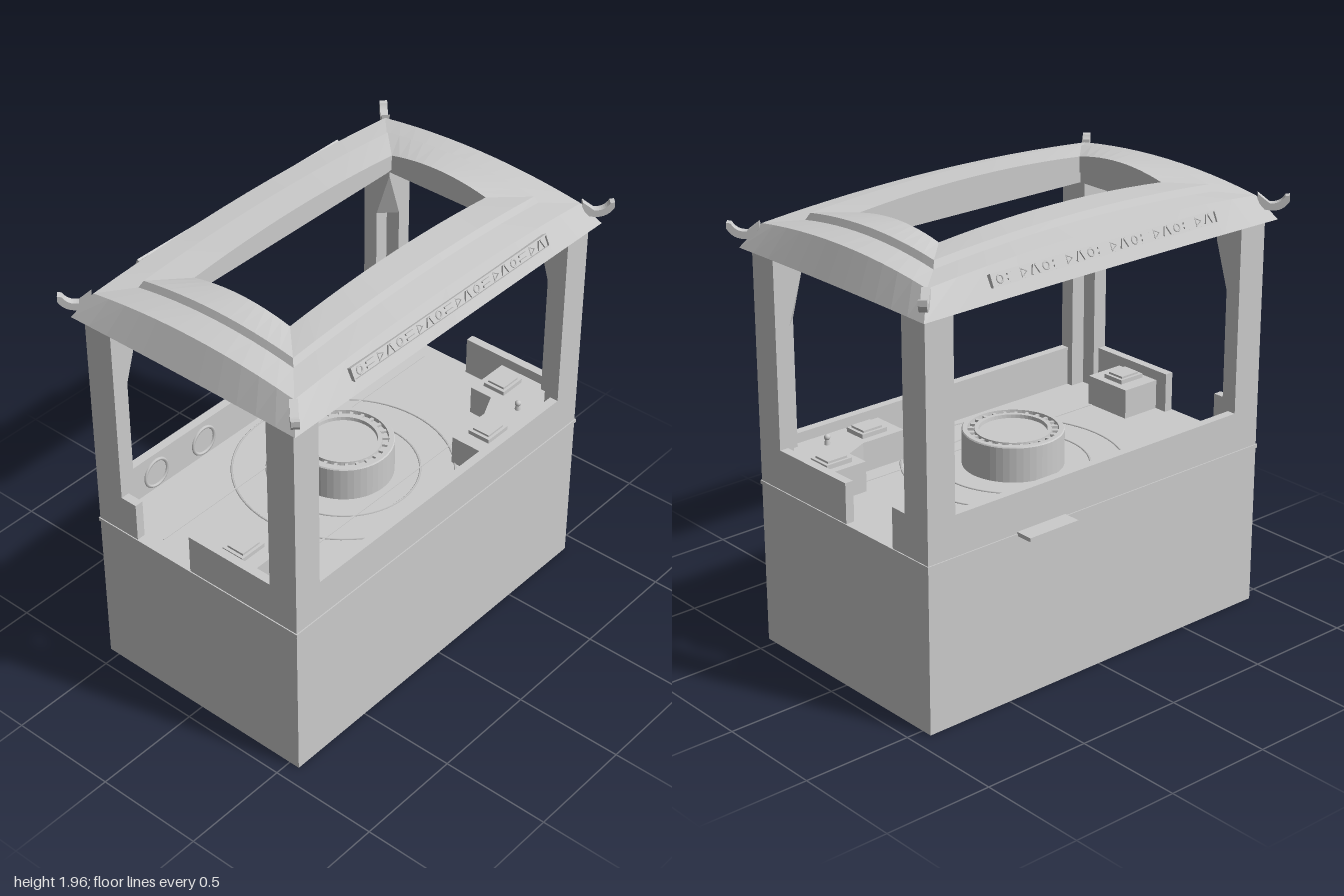
import * as THREE from 'three';
import { ConvexGeometry } from 'three/addons/geometries/ConvexGeometry.js';

const grey = new THREE.MeshStandardMaterial({ color: 0xcccccc });
const flat = new THREE.MeshStandardMaterial({ color: 0xcccccc, flatShading: true });
const DECK = 0.75, EAVE = 1.78;

function add(parent, name, geometry, material = grey) {
  const mesh = new THREE.Mesh(geometry, material);
  mesh.name = name;
  parent.add(mesh);
  return mesh;
}

function box(parent, name, w, h, d, x, y, z) {
  const mesh = add(parent, name, new THREE.BoxGeometry(w, h, d));
  mesh.position.set(x, y, z);
  return mesh;
}

// Box given by its lower and upper corner
function span(parent, name, [x0, y0, z0], [x1, y1, z1]) {
  return box(parent, name, x1 - x0, y1 - y0, z1 - z0, (x0 + x1) / 2, (y0 + y1) / 2, (z0 + z1) / 2);
}

// Plan outline of (x, z) points raised from y0 to y1
function prism(points, y0, y1) {
  const shape = new THREE.Shape(points.map(([x, z]) => new THREE.Vector2(x, -z)));
  return new THREE.ExtrudeGeometry(shape, { depth: y1 - y0, bevelEnabled: false })
    .rotateX(-Math.PI / 2).translate(0, y0, 0);
}

// Skin through rectangular rings [halfX, halfZ, cornerY, rise at mid-side]
function ringSkin(rings, n = 12) {
  const corners = [[1, 1], [1, -1], [-1, -1], [-1, 1]];
  const pos = [], index = [], count = 4 * n;
  for (const [hx, hz, y, rise] of rings) {
    for (let s = 0; s < 4; s++) {
      const a = corners[s], b = corners[(s + 1) % 4];
      for (let k = 0; k < n; k++) {
        const t = k / n, u = 2 * t - 1;
        pos.push(hx * (a[0] + (b[0] - a[0]) * t), y + rise * (1 - u * u), hz * (a[1] + (b[1] - a[1]) * t));
      }
    }
  }
  for (let r = 0; r < rings.length; r++) {
    const o = r * count, i = ((r + 1) % rings.length) * count;
    for (let j = 0; j < count; j++) {
      const k = (j + 1) % count;
      index.push(o + j, o + k, i + k, o + j, i + k, i + j);
    }
  }
  const g = new THREE.BufferGeometry();
  g.setAttribute('position', new THREE.Float32BufferAttribute(pos, 3));
  g.setIndex(index);
  const out = g.toNonIndexed();
  out.computeVertexNormals();
  return out;
}

// Ornamental relief strip for the eave, facing +z
function reliefPanel() {
  const g = new THREE.Group();
  g.name = 'eaveRelief';
  box(g, 'reliefBacking', 1.21, 0.052, 0.03, 0, 0, -0.016);
  for (const s of [-1, 1]) {
    box(g, 'reliefRail', 1.21, 0.006, 0.01, 0, s * 0.025, 0.003);
    box(g, 'reliefEnd', 0.006, 0.056, 0.01, s * 0.604, 0, 0.003);
  }
  for (let i = 0; i < 20; i++) {
    const x = -0.56 + i * 0.059;
    if (i % 4 === 0) {
      add(g, 'reliefRing', new THREE.TorusGeometry(0.015, 0.004, 6, 16)).position.set(x, 0, 0);
    } else if (i % 4 === 1) {
      for (const s of [-1, 1]) box(g, 'reliefBar', 0.045, 0.008, 0.008, x, s * 0.01, 0.002);
    } else if (i % 4 === 2) {
      add(g, 'reliefTriangle', new THREE.TorusGeometry(0.019, 0.004, 4, 3)).position.set(x, 0, 0);
    } else {
      for (const s of [-1, 1]) box(g, 'reliefSlant', 0.007, 0.04, 0.008, x + s * 0.012, 0, 0.002).rotation.z = s * 0.4;
    }
  }
  return g;
}

export function createModel() {
  const model = new THREE.Group();
  model.name = 'pavilion';

  // Solid base and deck
  span(model, 'base', [-0.92, 0, -0.55], [0.92, 0.735, 0.55]);
  span(model, 'deck', [-0.925, 0.733, -0.555], [0.925, DECK, 0.555]);
  for (const z of [-0.25, 0.25]) box(model, 'deckSeam', 1.7, 0.006, 0.008, 0, DECK, z);
  for (const r of [0.33, 0.48]) {
    add(model, 'deckRing', new THREE.TorusGeometry(r, 0.005, 4, 64).rotateX(Math.PI / 2)).position.y = DECK;
  }

  // Parapets: full length front and back, an entry gap on each side
  for (const s of [-1, 1]) {
    span(model, 'longParapet', [-0.79, DECK, s * 0.53 - 0.02], [0.79, 0.93, s * 0.53 + 0.02]);
    span(model, 'sideParapet', [s * 0.9 - 0.02, DECK, -0.03], [s * 0.9 + 0.02, 0.93, 0.42]);
    span(model, 'sideParapetStub', [s * 0.9 - 0.02, DECK, -0.42], [s * 0.9 + 0.02, 0.93, -0.33]);
  }
  span(model, 'backShelf', [0.2, 0.74, -0.63], [0.46, 0.757, -0.54]);
  for (const x of [-0.62, -0.33, 0.63]) {
    add(model, 'wallRing', new THREE.TorusGeometry(0.065, 0.008, 6, 28)).position.set(x, 0.83, -0.51);
  }

  // Angle-section corner posts, brackets and upturned roof horns
  const horn = new THREE.Shape();
  horn.moveTo(-0.01, 1.865);
  horn.lineTo(0.01, 1.825);
  horn.quadraticCurveTo(0.09, 1.80, 0.124, 1.86);
  horn.lineTo(0.124, 1.885);
  horn.lineTo(0.105, 1.882);
  horn.quadraticCurveTo(0.085, 1.845, 0.04, 1.85);
  horn.lineTo(-0.01, 1.89);
  for (const sx of [-1, 1]) for (const sz of [-1, 1]) {
    const plan = [[0.92, 0.55], [0.78, 0.55], [0.78, 0.48], [0.85, 0.48], [0.85, 0.41], [0.92, 0.41]];
    add(model, 'cornerPost', prism(plan.map(([x, z]) => [sx * x, sz * z]), DECK - 0.01, EAVE + 0.01));
    const bracket = [];
    for (const [x, z] of [[0.78, 0.48], [0.85, 0.41], [0.85, 0.48]]) {
      bracket.push(new THREE.Vector3(sx * x, 1.46, sz * z));
    }
    for (const [x, z] of [[0.78, 0.48], [0.85, 0.41], [0.85, 0.48], [0.78, 0.41]]) {
      for (const y of [1.68, EAVE]) bracket.push(new THREE.Vector3(sx * x, y, sz * z));
    }
    add(model, 'postBracket', new ConvexGeometry(bracket), flat);
    const geo = new THREE.ExtrudeGeometry(horn, { depth: 0.034, bevelEnabled: false, curveSegments: 8 })
      .translate(0, 0, -0.017);
    const tip = add(model, 'roofHorn', geo, flat);
    tip.rotation.y = Math.atan2(-sz, sx);
    tip.position.set(sx * 0.9, 0, sz * 0.535);
  }

  // Bowed roof with raised rim, open centre and recessed ceiling
  add(model, 'roof', ringSkin([
    [0.955, 0.59, 1.775, 0.005],
    [0.885, 0.525, 1.88, 0.04],
    [0.755, 0.405, 1.895, 0.035],
    [0.74, 0.39, 1.925, 0.033],
    [0.6, 0.25, 1.93, 0.03],
    [0.6, 0.25, 1.86, 0],
    [0.68, 0.33, 1.86, 0],
    [0.68, 0.33, EAVE, 0],
  ]), flat);
  for (const s of [1, -1]) {
    const side = new THREE.Group();
    side.name = s > 0 ? 'frontEave' : 'backEave';
    const panel = reliefPanel();
    panel.position.set(0, 1.855, 0.564);
    panel.rotation.x = -0.43;
    side.add(panel);
    if (s < 0) side.rotation.y = Math.PI;
    model.add(side);
  }

  // Round table with a notched groove in its top
  const profile = [[0.22, 0.75], [0.22, 0.905], [0.216, 0.91], [0.195, 0.91], [0.193, 0.892], [0.167, 0.892],
    [0.165, 0.908], [0.147, 0.908], [0.145, 0.892], [0, 0.892]].map(([r, y]) => new THREE.Vector2(r, y));
  const lathe = new THREE.LatheGeometry(profile, 48).toNonIndexed();
  lathe.computeVertexNormals();
  add(model, 'roundTable', lathe);
  for (let i = 0; i < 24; i++) {
    const a = (i / 24) * Math.PI * 2;
    box(model, 'tableNotch', 0.026, 0.012, 0.014, 0.18 * Math.cos(a), 0.897, 0.18 * Math.sin(a)).rotation.y = -a;
  }

  // Corner console, side console, tilted pads and a lever
  add(model, 'cornerConsole', prism([[0.88, 0.51], [0.33, 0.51], [0.33, 0.33], [0.55, 0.33],
    [0.66, 0.28], [0.66, 0.17], [0.88, 0.17]], DECK, 0.885));
  span(model, 'sideConsole', [-0.88, DECK, 0.03], [-0.69, 0.885, 0.27]);
  for (const [x, z] of [[0.77, 0.26], [0.46, 0.42], [-0.79, 0.15]]) {
    box(model, 'consolePad', 0.13, 0.025, 0.11, x, 0.892, z);
    box(model, 'consolePadTop', 0.1, 0.012, 0.085, x, 0.908, z);
  }
  const lever = add(model, 'leverStem', new THREE.CylinderGeometry(0.008, 0.014, 0.035, 10));
  lever.position.set(0.67, 0.9, 0.42);
  add(model, 'leverKnob', new THREE.SphereGeometry(0.014, 12, 8)).position.set(0.67, 0.917, 0.42);

  return model;
}
